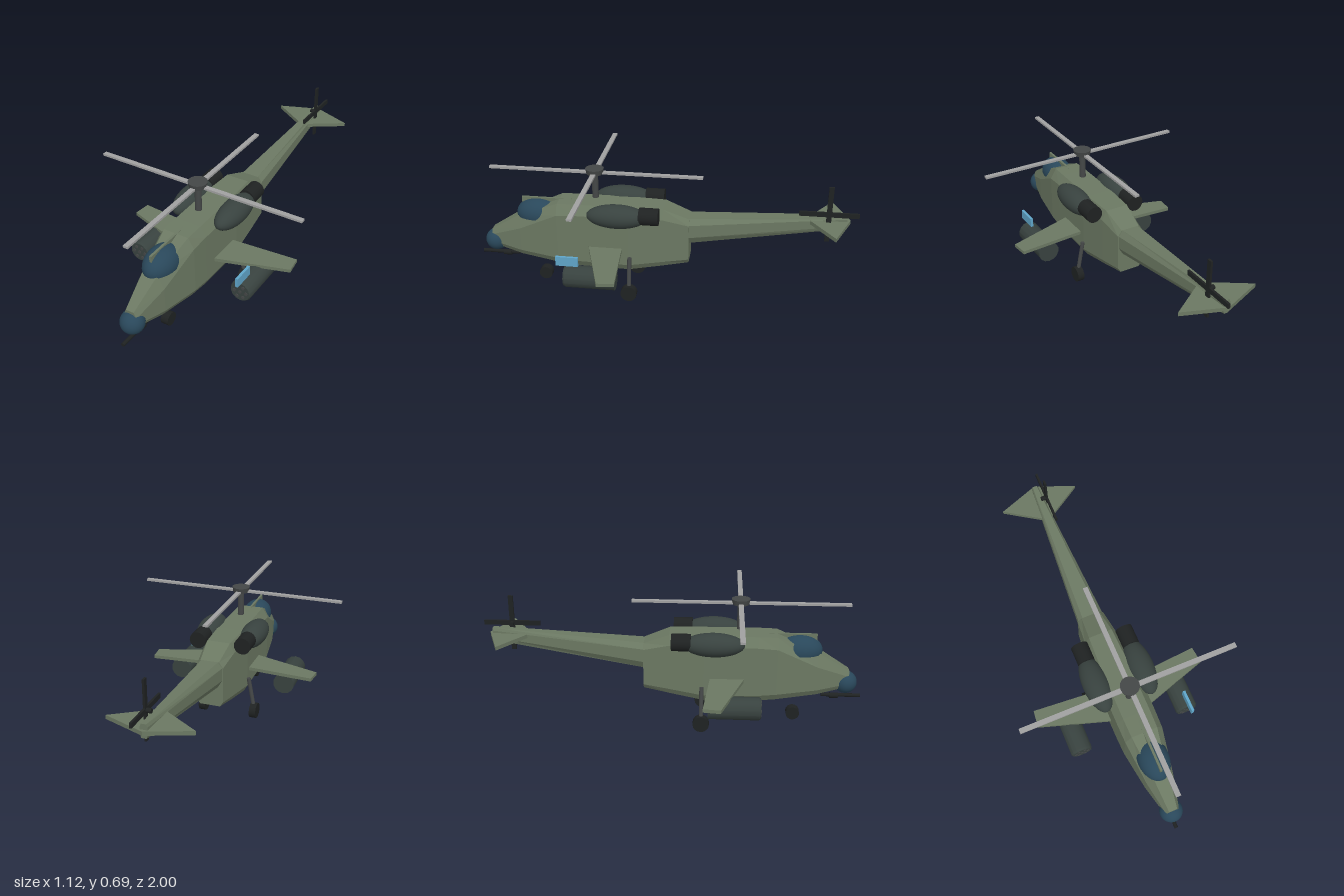
import * as THREE from 'three';
import { toCreasedNormals } from 'three/addons/utils/BufferGeometryUtils.js';

const mat = (color, extra = {}) => new THREE.MeshStandardMaterial({ color, ...extra });
const green = mat(0x6b7862, { flatShading: true });
const engineGrey = mat(0x38423f);
const black = mat(0x1f2222);
const metal = mat(0x444747);
const bladeGrey = mat(0xa0a0a0);
const glass = mat(0x29475a);
const blue = mat(0x5fa5c8);

// Chamfered cross-section, counter-clockwise seen from the front
function ring({ z, y0, y1, w, top, bottom, c0, c1 }) {
  return [
    [bottom, y0, z], [w, y0 + c0, z], [w, y1 - c1, z], [top, y1, z],
    [-top, y1, z], [-w, y1 - c1, z], [-w, y0 + c0, z], [-bottom, y0, z],
  ];
}

// Faceted skin through cross-sections running front to back, closed at both ends
function loft(sections) {
  const rings = sections.map(ring), pos = [];
  const tri = (a, b, c) => pos.push(...a, ...b, ...c);
  const n = rings[0].length;
  for (let i = 0; i < rings.length - 1; i++) {
    for (let j = 0; j < n; j++) {
      const k = (j + 1) % n, a = rings[i], b = rings[i + 1];
      tri(a[j], b[j], a[k]);
      tri(a[k], b[j], b[k]);
    }
  }
  const first = rings[0], last = rings[rings.length - 1];
  for (let j = 1; j < n - 1; j++) {
    tri(first[0], first[j], first[j + 1]);
    tri(last[0], last[j + 1], last[j]);
  }
  const g = new THREE.BufferGeometry();
  g.setAttribute('position', new THREE.Float32BufferAttribute(pos, 3));
  g.computeVertexNormals();
  return g;
}

// Flat plate from an outline of [x, z] points, between y and y + t
function plate(points, y, t) {
  const shape = new THREE.Shape(points.map(([x, z]) => new THREE.Vector2(x, -z)));
  return new THREE.ExtrudeGeometry(shape, { depth: t, bevelEnabled: false })
    .rotateX(-Math.PI / 2).translate(0, y, 0);
}

export function createModel() {
  const model = new THREE.Group();
  const add = (name, geometry, material, x = 0, y = 0, z = 0, parent = model) => {
    const m = new THREE.Mesh(geometry, material);
    m.name = name;
    m.position.set(x, y, z);
    parent.add(m);
    return m;
  };
  const box = (w, h, d) => new THREE.BoxGeometry(w, h, d);
  const rodZ = (r, len, sides = 16) => new THREE.CylinderGeometry(r, r, len, sides).rotateX(Math.PI / 2);
  const ellipsoid = (rx, ry, rz, end = Math.PI) =>
    new THREE.SphereGeometry(1, 28, 18, 0, Math.PI * 2, 0, end).scale(rx, ry, rz);

  // Fuselage and tail boom
  add('fuselage', loft([
    { z: 0.93, y0: 0.22, y1: 0.31, w: 0.035, top: 0.022, bottom: 0.025, c0: 0.02, c1: 0.03 },
    { z: 0.76, y0: 0.185, y1: 0.415, w: 0.072, top: 0.04, bottom: 0.055, c0: 0.03, c1: 0.07 },
    { z: 0.55, y0: 0.162, y1: 0.503, w: 0.1, top: 0.068, bottom: 0.08, c0: 0.035, c1: 0.055 },
    { z: 0.45, y0: 0.153, y1: 0.505, w: 0.102, top: 0.07, bottom: 0.083, c0: 0.035, c1: 0.05 },
    { z: 0.17, y0: 0.148, y1: 0.505, w: 0.102, top: 0.07, bottom: 0.083, c0: 0.035, c1: 0.05 },
    { z: -0.01, y0: 0.178, y1: 0.503, w: 0.086, top: 0.062, bottom: 0.07, c0: 0.03, c1: 0.05 },
    { z: -0.145, y0: 0.2, y1: 0.45, w: 0.072, top: 0.05, bottom: 0.055, c0: 0.025, c1: 0.03 },
  ]), green);
  add('tailBoom', loft([
    { z: -0.14, y0: 0.31, y1: 0.45, w: 0.068, top: 0.045, bottom: 0.045, c0: 0.04, c1: 0.03 },
    { z: -0.945, y0: 0.433, y1: 0.503, w: 0.018, top: 0.012, bottom: 0.012, c0: 0.018, c1: 0.015 },
  ]), green);
  add('tailplane', plate([[0, -0.74], [-0.212, -0.88], [0, -0.962], [0.212, -0.88]], 0.455, 0.02), green);

  // Cockpit, nose sensor and gun
  add('canopy', ellipsoid(0.08, 0.083, 0.118, Math.PI * 0.55), glass, 0, 0.415, 0.668);
  add('canopyFrame', box(0.012, 0.045, 0.27), green, 0, 0.482, 0.62);
  add('sensorBall', ellipsoid(0.06, 0.06, 0.06), glass, 0, 0.238, 0.917);
  add('gunBarrel', rodZ(0.01, 0.205, 10), black, 0, 0.16, 0.8975);
  add('gunSleeve', rodZ(0.015, 0.045, 10), black, 0, 0.157, 0.862);

  // Rocket pod shell, bevelled at the front
  const podShell = toCreasedNormals(new THREE.LatheGeometry(
    [[0, -0.132], [0.058, -0.132], [0.058, 0.122], [0.052, 0.132], [0, 0.132]]
      .map(([r, y]) => new THREE.Vector2(r, y)), 14).rotateX(Math.PI / 2), 0.6);

  // Parts mirrored on both sides
  for (const s of [1, -1]) {
    const side = s > 0 ? 'left' : 'right';
    const outline = [[0.05, 0.397], [0.466, 0.265], [0.456, 0.177], [0.05, 0.208]]
      .map(([x, z]) => [s * x, z]);
    if (s < 0) outline.reverse();
    add(side + 'Wing', plate(outline, 0.262, 0.018), green);

    add(side + 'Engine', ellipsoid(0.067, 0.062, 0.158), engineGrey, s * 0.123, 0.478, 0.222);
    add(side + 'Exhaust', rodZ(0.045, 0.1), black, s * 0.123, 0.488, 0.055);

    const pod = new THREE.Group();
    pod.name = side + 'RocketPod';
    pod.position.set(s * 0.3, 0.213, 0.332);
    model.add(pod);
    add('podShell', podShell, engineGrey, 0, 0, 0, pod);
    for (let i = 0; i < 7; i++) {
      const a = i * Math.PI / 3, r = i < 6 ? 0.033 : 0;
      add('rocketTube', rodZ(0.009, 0.006, 10), metal, Math.cos(a) * r, Math.sin(a) * r, 0.132, pod);
    }

    // Main gear leg runs from the hull out to the wheel
    const from = new THREE.Vector3(s * 0.113, 0.235, 0.162);
    const to = new THREE.Vector3(s * 0.148, 0.05, 0.162);
    const leg = add(side + 'GearLeg', new THREE.CylinderGeometry(0.011, 0.011, from.distanceTo(to), 10), metal);
    leg.position.lerpVectors(from, to, 0.5);
    leg.quaternion.setFromUnitVectors(new THREE.Vector3(0, 1, 0), from.clone().sub(to).normalize());
    add(side + 'Wheel', new THREE.CylinderGeometry(0.043, 0.043, 0.037, 16).rotateZ(Math.PI / 2),
      black, s * 0.148, 0.043, 0.162);
  }
  add('noseWheel', new THREE.CylinderGeometry(0.036, 0.036, 0.042, 16).rotateZ(Math.PI / 2), black, 0, 0.051, 0.65);
  add('bluePanel', box(0.014, 0.05, 0.115), blue, 0.305, 0.3, 0.448);

  // Main rotor
  const rotor = new THREE.Group();
  rotor.name = 'mainRotor';
  rotor.position.set(0, 0.665, 0.355);
  model.add(rotor);
  add('mast', new THREE.CylinderGeometry(0.017, 0.017, 0.14, 16), metal, 0, -0.07, 0, rotor);
  add('hub', new THREE.CylinderGeometry(0.048, 0.043, 0.028, 24), metal, 0, 0.008, 0, rotor);
  for (let i = 0; i < 4; i++) {
    const blade = add('blade', box(0.562, 0.011, 0.025).translate(0.281, 0, 0), bladeGrey, 0, 0, 0, rotor);
    blade.rotation.y = i * Math.PI / 2;
  }

  // Tail rotor
  const tailRotor = new THREE.Group();
  tailRotor.name = 'tailRotor';
  tailRotor.position.set(0.033, 0.517, -0.85);
  model.add(tailRotor);
  for (let i = 0; i < 2; i++) {
    const blade = add('tailBlade', box(0.011, 0.025, 0.3), black, 0, 0, 0, tailRotor);
    blade.rotation.x = i * Math.PI / 2;
  }
  add('tailHub', new THREE.CylinderGeometry(0.012, 0.012, 0.03, 10).rotateZ(Math.PI / 2), black, -0.015, 0, 0, tailRotor);

  return model;
}
